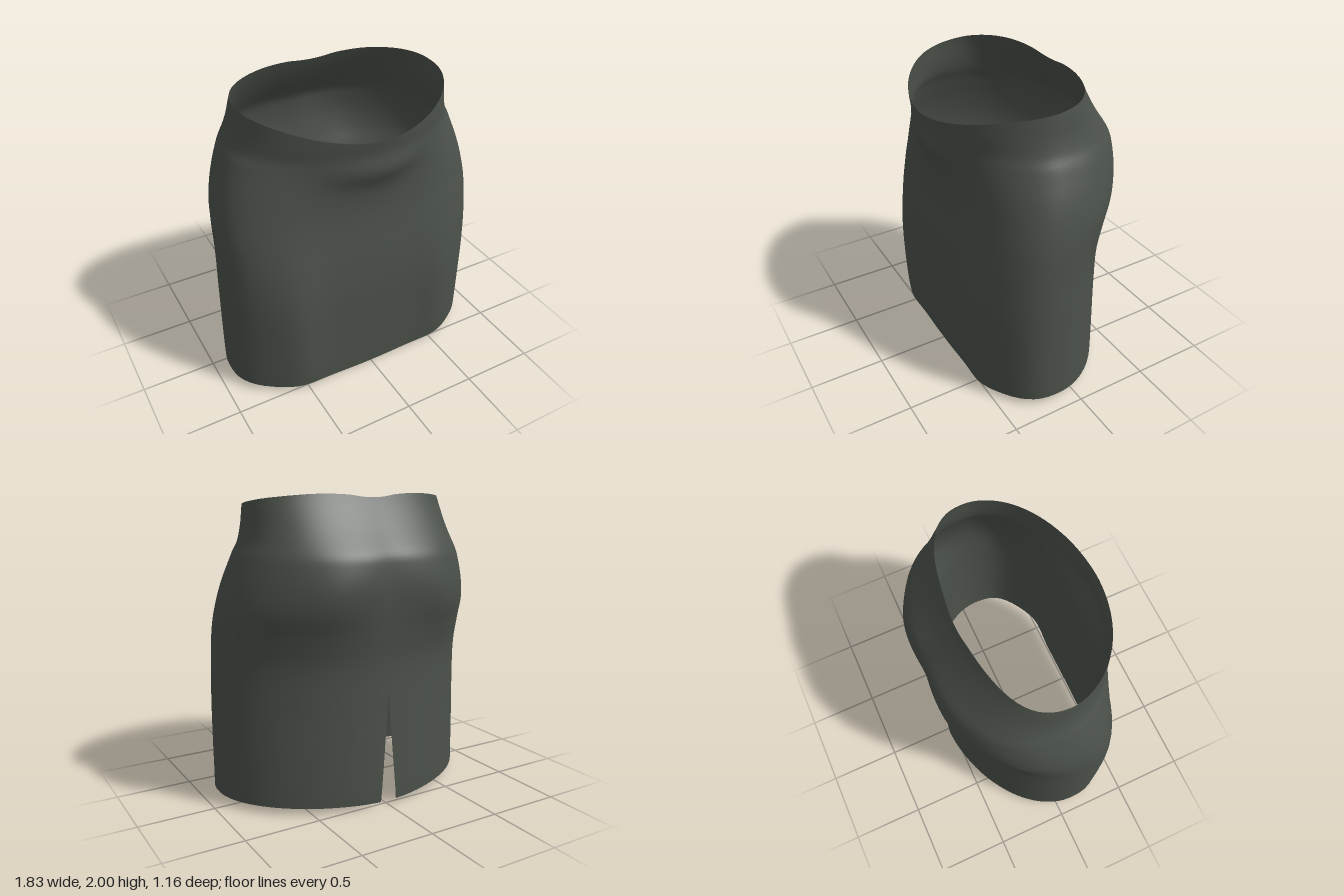
import * as THREE from 'three';
import { mergeVertices } from 'three/addons/utils/BufferGeometryUtils.js';

// Cross-sections: height, half width, front z, back z, centre z, front and back squareness
const SECTIONS = [
  [0.00, 0.915, 0.512, -0.532, 0.11, 2.85, 1.87],
  [0.10, 0.917, 0.518, -0.534, 0.11, 2.85, 1.86],
  [0.40, 0.917, 0.525, -0.526, 0.11, 2.85, 1.85],
  [0.70, 0.914, 0.535, -0.518, 0.11, 2.85, 1.85],
  [0.95, 0.908, 0.526, -0.518, 0.11, 2.8, 1.9],
  [1.15, 0.902, 0.510, -0.542, 0.10, 2.65, 2.05],
  [1.30, 0.885, 0.504, -0.565, 0.08, 2.45, 2.22],
  [1.45, 0.848, 0.514, -0.577, 0.07, 2.2, 2.3],
  [1.60, 0.793, 0.536, -0.563, 0.06, 1.95, 2.4],
  [1.65, 0.772, 0.544, -0.543, 0.06, 1.88, 2.45],
  [1.70, 0.746, 0.555, -0.507, 0.05, 1.85, 2.52],
  [1.80, 0.719, 0.584, -0.434, 0.05, 1.82, 2.55],
  [1.92, 0.704, 0.594, -0.359, 0.05, 1.8, 2.45],
  [2.00, 0.690, 0.596, -0.318, 0.05, 1.8, 2.4],
];
// Rim and hem heights around the loop, from back (-1) to front (1)
const RIM = [[-1, 1.977], [-0.9, 1.995], [-0.65, 2.0], [-0.35, 1.982], [0, 1.95],
  [0.35, 1.917], [0.57, 1.885], [0.87, 1.833], [1, 1.805]];
const HEM = [[-1, 0.03], [-0.85, 0.038], [-0.4, 0.047], [0.2, 0.047], [0.35, 0.038], [0.5, 0.028],
  [0.73, 0.01], [0.9, 0.003], [1, 0]];

// Smooth interpolation of table rows by their first value
function sample(table, v) {
  let i = 0;
  while (i < table.length - 2 && v > table[i + 1][0]) i++;
  const a = table[i], b = table[i + 1];
  const before = table[Math.max(i - 1, 0)], after = table[Math.min(i + 2, table.length - 1)];
  const h = b[0] - a[0];
  const t = THREE.MathUtils.clamp((v - a[0]) / h, 0, 1);
  return a.map((p, k) => {
    const ma = ((b[k] - before[k]) / (b[0] - before[0])) * h;
    const mb = ((after[k] - a[k]) / (after[0] - a[0])) * h;
    const q = b[k];
    return p + t * ma + t * t * (3 * (q - p) - 2 * ma - mb) + t * t * t * (2 * (p - q) + ma + mb);
  });
}

const bump = (v, centre, size) => Math.exp(-(((v - centre) / size) ** 2));

// A point on the cloth: angle runs from centre back through the left side to the front
function clothPoint(angle, y) {
  const [, width, front, back, centre, squareFront, squareBack] = sample(SECTIONS, y);
  const s = Math.sin(angle), c = -Math.cos(angle);
  const depth = c > 0 ? front - centre : centre - back;
  const n = c > 0 ? squareFront : squareBack;
  const r = (Math.abs(s / width) ** n + Math.abs(c / depth) ** n) ** (-1 / n);
  const x = r * s, ax = Math.abs(x);
  const w = Math.min(1, Math.abs(c) * 3);
  let z = centre + r * c;
  if (c > 0) {
    // thighs pushing at the front, and the soft fold under the waist
    z += 0.05 * bump(ax, 0.56, 0.17) * bump(y, 0.4, 0.65) * w;
    z += 0.04 * bump(ax, 0, 0.32) * bump(y, 1.6 + 0.4 * ax * ax, 0.105);
  } else {
    // seat: centre hollow between rounded cheeks that slope down and outward
    z += 0.012 * bump(ax, 0, 0.11) * bump(y, 1.45, 0.28) * w;
    z -= 0.028 * bump(ax, 0.39, 0.21) * bump(y, 1.4 - 0.25 * (ax - 0.3), 0.22) * w;
  }
  return [x, y, z];
}

function skirtGeometry() {
  const around = 120, rows = 80, slitTop = 0.75;
  const positions = [], index = [];
  for (let j = 0; j <= rows; j++) {
    for (let i = 0; i <= around; i++) {
      const t = j / rows;
      // the two back edges part below the top of the slit
      const gap = 0.095 * Math.max(0, 1 - (t * 1.95 + 0.03) / slitTop);
      const angle = gap + (2 * Math.PI - 2 * gap) * (i / around);
      const c = -Math.cos(angle);
      const y = THREE.MathUtils.lerp(sample(HEM, c)[1], sample(RIM, c)[1], t);
      positions.push(...clothPoint(angle, y));
      if (i < around && j < rows) {
        const a = j * (around + 1) + i, up = a + around + 1;
        index.push(a, up, a + 1, up, up + 1, a + 1);
      }
    }
  }
  const geometry = new THREE.BufferGeometry();
  geometry.setAttribute('position', new THREE.Float32BufferAttribute(positions, 3));
  geometry.setIndex(index);
  // join the back seam above the slit
  const joined = mergeVertices(geometry, 1e-4);
  joined.computeVertexNormals();
  return joined;
}

export function createModel() {
  const cloth = new THREE.MeshStandardMaterial({ color: 0x4b514a, side: THREE.DoubleSide });
  cloth.name = 'dark grey green cloth';
  const skirt = new THREE.Mesh(skirtGeometry(), cloth);
  skirt.name = 'skirt';
  const model = new THREE.Group();
  model.name = 'pencilSkirt';
  model.add(skirt);
  return model;
}
